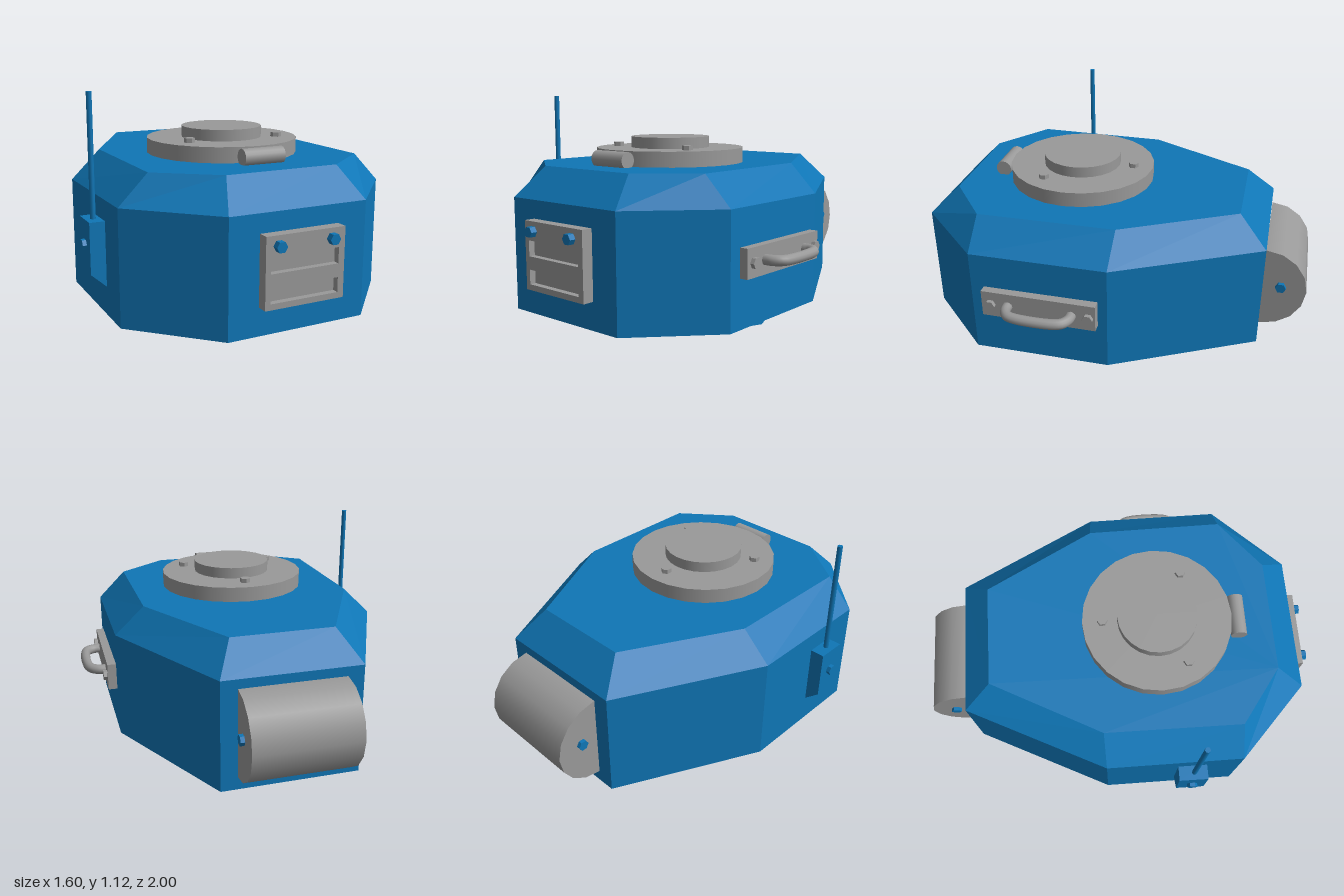
import * as THREE from 'three';

export function createModel() {
  const group = new THREE.Group();
  const blue = new THREE.MeshStandardMaterial({ color: 0x0f76b6, side: THREE.DoubleSide });
  blue.name = 'blue paint';
  const grey = new THREE.MeshStandardMaterial({ color: 0x999999 });
  grey.name = 'grey metal';

  const add = (name, geometry, material, x = 0, y = 0, z = 0) => {
    const mesh = new THREE.Mesh(geometry, material);
    mesh.name = name;
    mesh.position.set(x, y, z);
    group.add(mesh);
    return mesh;
  };
  const box = (w, h, d) => new THREE.BoxGeometry(w, h, d);
  // Cylinder lying along a chosen axis
  const rod = (r, length, sides, axis = 'y') => {
    const g = new THREE.CylinderGeometry(r, r, length, sides);
    if (axis === 'x') g.rotateZ(Math.PI / 2);
    if (axis === 'z') g.rotateX(Math.PI / 2).rotateZ(Math.PI / 6);
    return g;
  };
  // Flat-sided hexagonal bolt head
  const bolt = (name, axis, length, material, x, y, z) => {
    const g = rod(0.026, length, 6, axis).toNonIndexed();
    g.computeVertexNormals();
    add(name, g, material, x, y, z);
  };

  // Hull: eight-sided prism with a bevelled roof, corners as [x, z]
  const outer = [[-0.36, 0.92], [0.32, 0.915], [0.65, 0.57], [0.645, -0.1],
    [0.29, -0.785], [-0.38, -0.78], [-0.715, -0.09], [-0.71, 0.585]];
  const inner = [[-0.3, 0.78], [0.257, 0.775], [0.51, 0.57], [0.5, -0.105],
    [0.21, -0.645], [-0.29, -0.64], [-0.57, -0.095], [-0.57, 0.58]];
  const level = (ring, y) => ring.map(([x, z]) => [x, y, z]);
  const rings = [level(outer, 0.115), level(outer, 0.652), level(inner, 0.792)];
  const points = [];
  const tri = (a, b, c) => points.push(...a, ...b, ...c);
  for (let k = 0; k < 2; k++) {
    for (let i = 0; i < 8; i++) {
      const j = (i + 1) % 8, lo = rings[k], hi = rings[k + 1];
      tri(lo[i], lo[j], hi[j]);
      tri(lo[i], hi[j], hi[i]);
    }
  }
  for (let i = 1; i < 7; i++) {
    tri(rings[2][0], rings[2][i], rings[2][i + 1]);
    tri(rings[0][0], rings[0][i + 1], rings[0][i]);
  }
  const hull = new THREE.BufferGeometry();
  hull.setAttribute('position', new THREE.Float32BufferAttribute(points, 3));
  hull.computeVertexNormals();
  add('hull', hull, blue);

  // Open collar under the hull
  add('baseCollar', new THREE.CylinderGeometry(0.493, 0.493, 0.115, 8, 1, true), blue, -0.032, 0.0575, 0.073);

  // Roof hatch with lid, bolts and hinge
  const hx = -0.03, hz = 0.2;
  add('hatchRing', rod(0.37, 0.075, 24), grey, hx, 0.828, hz);
  add('hatchLid', rod(0.197, 0.06, 24), grey, hx, 0.89, hz);
  for (let i = 0; i < 3; i++) {
    const a = Math.PI + (i * 2 * Math.PI) / 3;
    bolt('hatchBolt', 'y', 0.03, grey, hx + 0.27 * Math.sin(a), 0.872, hz + 0.27 * Math.cos(a));
  }
  add('hatchHinge', rod(0.04, 0.205, 16, 'x'), grey, -0.028, 0.825, 0.602);

  // Front panel with two recessed slots
  const panel = new THREE.Shape([[-0.215, 0.245], [0.175, 0.245], [0.175, 0.565], [-0.215, 0.565]]
    .map(([x, y]) => new THREE.Vector2(x, y)));
  for (const [y0, y1] of [[0.272, 0.34], [0.402, 0.475]]) {
    panel.holes.push(new THREE.Path([[-0.19, y0], [-0.19, y1], [0.145, y1], [0.145, y0]]
      .map(([x, y]) => new THREE.Vector2(x, y))));
  }
  add('frontPanel', new THREE.ExtrudeGeometry(panel, { depth: 0.055, bevelEnabled: false }), grey, 0, 0, 0.915);
  add('slotBack', box(0.37, 0.3, 0.03), grey, -0.02, 0.405, 0.925);
  for (const x of [-0.155, 0.107]) bolt('panelBolt', 'z', 0.04, blue, x, 0.52, 0.98);

  // Side grab handle
  add('handlePlate', box(0.045, 0.135, 0.56), grey, 0.667, 0.413, 0.225);
  const grip = new THREE.CatmullRomCurve3([[0.68, 0.375], [0.725, 0.372], [0.758, 0.35], [0.772, 0.305],
    [0.772, 0.135], [0.758, 0.09], [0.725, 0.066], [0.68, 0.062]]
    .map(([x, z]) => new THREE.Vector3(x, 0.413, z)));
  add('handleGrip', new THREE.TubeGeometry(grip, 36, 0.025, 12), grey);
  for (const z of [0.46, -0.02]) bolt('handleBolt', 'x', 0.03, grey, 0.694, 0.413, z);

  // Antenna bracket, whip and bolt
  const bracket = new THREE.Shape([[-0.7, 0.24], [-0.7, 0.555], [-0.783, 0.555], [-0.783, 0.315]]
    .map(([x, y]) => new THREE.Vector2(x, y)));
  add('antennaBracket', new THREE.ExtrudeGeometry(bracket, { depth: 0.145, bevelEnabled: false }), blue, 0, 0, 0.267);
  add('antennaWhip', rod(0.013, 0.58, 8), blue, -0.745, 0.832, 0.345);
  bolt('antennaBolt', 'x', 0.03, blue, -0.787, 0.44, 0.34);

  // Half-round rear housing with a bolt on each end
  const drum = new THREE.CylinderGeometry(0.215, 0.215, 0.51, 8, 1, false, Math.PI / 2, Math.PI);
  drum.rotateZ(Math.PI / 2);
  add('rearHousing', drum, grey, -0.045, 0.392, -0.783);
  for (const x of [-0.3, 0.212]) bolt('housingBolt', 'x', 0.036, blue, x, 0.41, -0.872);

  return group;
}
